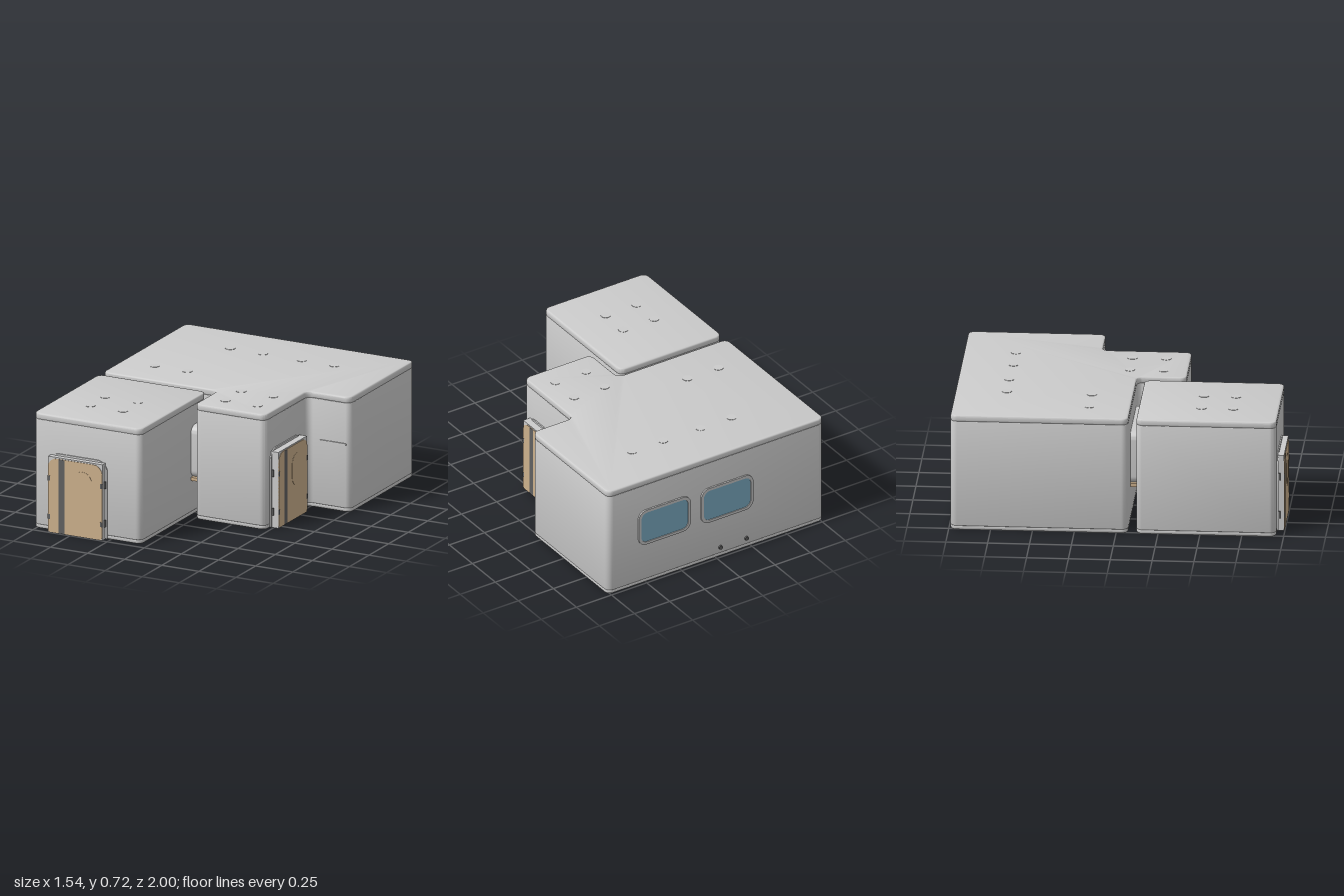
import * as THREE from 'three';
import { toCreasedNormals } from 'three/addons/utils/BufferGeometryUtils.js';

const mat = (color, opts = {}) => new THREE.MeshStandardMaterial({ color, ...opts });
const GREY = mat(0xcccccc), TAN = mat(0xccb08c), DARK = mat(0x606060), GLASS = mat(0x7fb0c8);

function mesh(name, geometry, material, parent, x = 0, y = 0, z = 0) {
  const m = new THREE.Mesh(geometry, material);
  m.name = name;
  m.position.set(x, y, z);
  parent.add(m);
  return m;
}

// Polygon with every corner rounded; optional inset per corner list is done by bevels
function roundedPolygon(points, radius, Type = THREE.Shape) {
  const shape = new Type();
  const pts = points.map(([x, y]) => new THREE.Vector2(x, y));
  const n = pts.length;
  pts.forEach((p, i) => {
    const r = Array.isArray(radius) ? radius[i] : radius;
    const a = p.clone().add(pts[(i + n - 1) % n].clone().sub(p).setLength(r));
    const b = p.clone().add(pts[(i + 1) % n].clone().sub(p).setLength(r));
    if (i === 0) shape.moveTo(a.x, a.y); else shape.lineTo(a.x, a.y);
    // cubic approximation of a circular fillet
    const c1 = a.clone().lerp(p, 0.552), c2 = b.clone().lerp(p, 0.552);
    shape.bezierCurveTo(c1.x, c1.y, c2.x, c2.y, b.x, b.y);
  });
  shape.closePath();
  return shape;
}

const rect = (x0, y0, x1, y1, r, Type) =>
  roundedPolygon([[x0, y0], [x1, y0], [x1, y1], [x0, y1]], r, Type);

function extrude(shape, depth, bevel = 0) {
  const g = new THREE.ExtrudeGeometry(shape, {
    depth: depth - 2 * bevel, curveSegments: 8,
    bevelEnabled: bevel > 0, bevelSize: bevel, bevelThickness: bevel, bevelOffset: -bevel, bevelSegments: 3,
  });
  g.translate(0, 0, bevel);
  return toCreasedNormals(g, 0.6);
}

// Wall block with floor tray and roof cap, from a footprint of [x, z] corners
function building(name, footprint, discs) {
  const group = new THREE.Group();
  group.name = name;
  const plan = roundedPolygon(footprint.map(([x, z]) => [x, -z]), 0.04);
  const layers = [
    ['floorTray', 0, 0.03, 0.01],
    ['walls', 0.024, 0.66, 0.004],
    ['roofCap', 0.678, 0.042, 0.01],
  ];
  for (const [part, y, height, bevel] of layers) {
    mesh(part, extrude(plan, height, bevel).rotateX(-Math.PI / 2), GREY, group, 0, y, 0);
  }
  // flush round roof plates
  for (const [x, z] of discs) {
    mesh('roofPlate', new THREE.CylinderGeometry(0.03, 0.03, 0.003, 24), GREY, group, x, 0.7205, z);
  }
  return group;
}

// Door unit facing +z, standing on y = 0 with its back on z = 0
function door(depth) {
  const group = new THREE.Group();
  group.name = 'door';
  const w = 0.1825, h = 0.475;
  mesh('doorArch', extrude(rect(-w - 0.015, 0.004, w + 0.015, h + 0.012, [0.002, 0.002, 0.07, 0.07]), 0.008), GREY, group);
  mesh('doorFrame', new THREE.BoxGeometry(2 * w, h, depth - 0.004), GREY, group, 0, h / 2, (depth - 0.004) / 2);
  mesh('doorPanel', extrude(rect(-w, 0.003, w, h - 0.008, [0.02, 0.02, 0.06, 0.06]), 0.004), TAN, group, 0, 0, depth - 0.005);
  mesh('doorStripe', new THREE.BoxGeometry(0.038, 0.462, 0.002), DARK, group, -0.09, 0.234, depth - 0.001);
  // oval porthole outline
  const oval = rect(-0.062, -0.1, 0.062, 0.1, 0.06);
  mesh('doorPorthole', extrude(oval, 0.0015), TAN, group, 0.05, 0.31, depth - 0.001);
  for (const side of [-1, 1]) for (const y of [0.1, 0.34]) {
    mesh('hinge', new THREE.CylinderGeometry(0.008, 0.008, 0.045, 10), DARK, group, side * w, y, 0.012);
    mesh('hingeLeaf', new THREE.BoxGeometry(0.016, 0.03, 0.004), DARK, group, side * (w - 0.006), y, depth - 0.001);
  }
  return group;
}

// Framed window facing +z, centred on its origin
function windowUnit(w, h) {
  const group = new THREE.Group();
  group.name = 'window';
  const frame = rect(-w / 2, -h / 2, w / 2, h / 2, 0.055);
  frame.holes.push(rect(-w / 2 + 0.018, -h / 2 + 0.018, w / 2 - 0.018, h / 2 - 0.018, 0.042, THREE.Path));
  mesh('windowFrame', extrude(frame, 0.012), GREY, group, 0, 0, -0.002);
  mesh('windowGlass', extrude(rect(-w / 2 + 0.01, -h / 2 + 0.01, w / 2 - 0.01, h / 2 - 0.01, 0.045), 0.005), GLASS, group);
  return group;
}

export function createModel() {
  const model = new THREE.Group();
  model.name = 'modularBuilding';

  const main = building('mainBlock',
    [[-0.77, 0.07], [0.005, 0.07], [0.005, 0.365], [0.48, 0.365], [0.48, -0.17], [0.77, -0.17], [0.77, -0.99], [-0.77, -0.99]],
    [[-0.31, -0.685], [-0.09, -0.685], [0.175, -0.68], [0.395, -0.68], [-0.55, -0.175], [-0.33, -0.175],
      [0.135, 0.018], [0.35, 0.018], [0.135, 0.22], [0.35, 0.22]]);
  const annex = building('annexBlock',
    [[-0.77, 0.955], [-0.045, 0.955], [-0.045, 0.12], [-0.77, 0.12]],
    [[-0.53, 0.493], [-0.31, 0.493], [-0.53, 0.684], [-0.31, 0.684]]);
  model.add(main, annex);

  // entrance on the annex front and on the left wall of the main block
  const frontDoor = door(0.045);
  frontDoor.position.set(-0.4675, 0, 0.954);
  const sideDoor = door(0.055);
  sideDoor.position.set(0.48, 0, 0.1125);
  sideDoor.rotation.y = Math.PI / 2;
  model.add(frontDoor, sideDoor);

  // twin windows and pipe stubs on the back wall
  for (const x of [-0.075, 0.37]) {
    const win = windowUnit(0.37, 0.24);
    win.position.set(x, 0.39, -0.99);
    win.rotation.y = Math.PI;
    model.add(win);
  }
  for (const x of [-0.03, -0.215]) {
    mesh('pipeStub', new THREE.CylinderGeometry(0.013, 0.013, 0.02, 16).rotateX(Math.PI / 2), DARK, model, x, 0.065, -0.99);
  }

  // linking passages in the gaps between the blocks
  const rearLink = rect(-0.55, 0.235, -0.02, 0.56, 0.05);
  mesh('rearLink', extrude(rearLink, 0.07), GREY, model, 0, 0, 0.06);
  mesh('rearLinkSill', new THREE.BoxGeometry(0.5, 0.02, 0.07), TAN, model, -0.3, 0.23, 0.095);
  const sideLink = rect(-0.32, 0.235, -0.09, 0.56, 0.05);
  mesh('sideLink', extrude(sideLink, 0.07).rotateY(Math.PI / 2), GREY, model, -0.055, 0, 0);
  mesh('sideLinkSill', new THREE.BoxGeometry(0.07, 0.02, 0.22), TAN, model, -0.02, 0.23, 0.21);

  // small rail on the recessed front wall
  mesh('wallRail', extrude(rect(0.56, 0.415, 0.745, 0.43, 0.007), 0.008), GREY, model, 0, 0, -0.171);

  return model;
}
